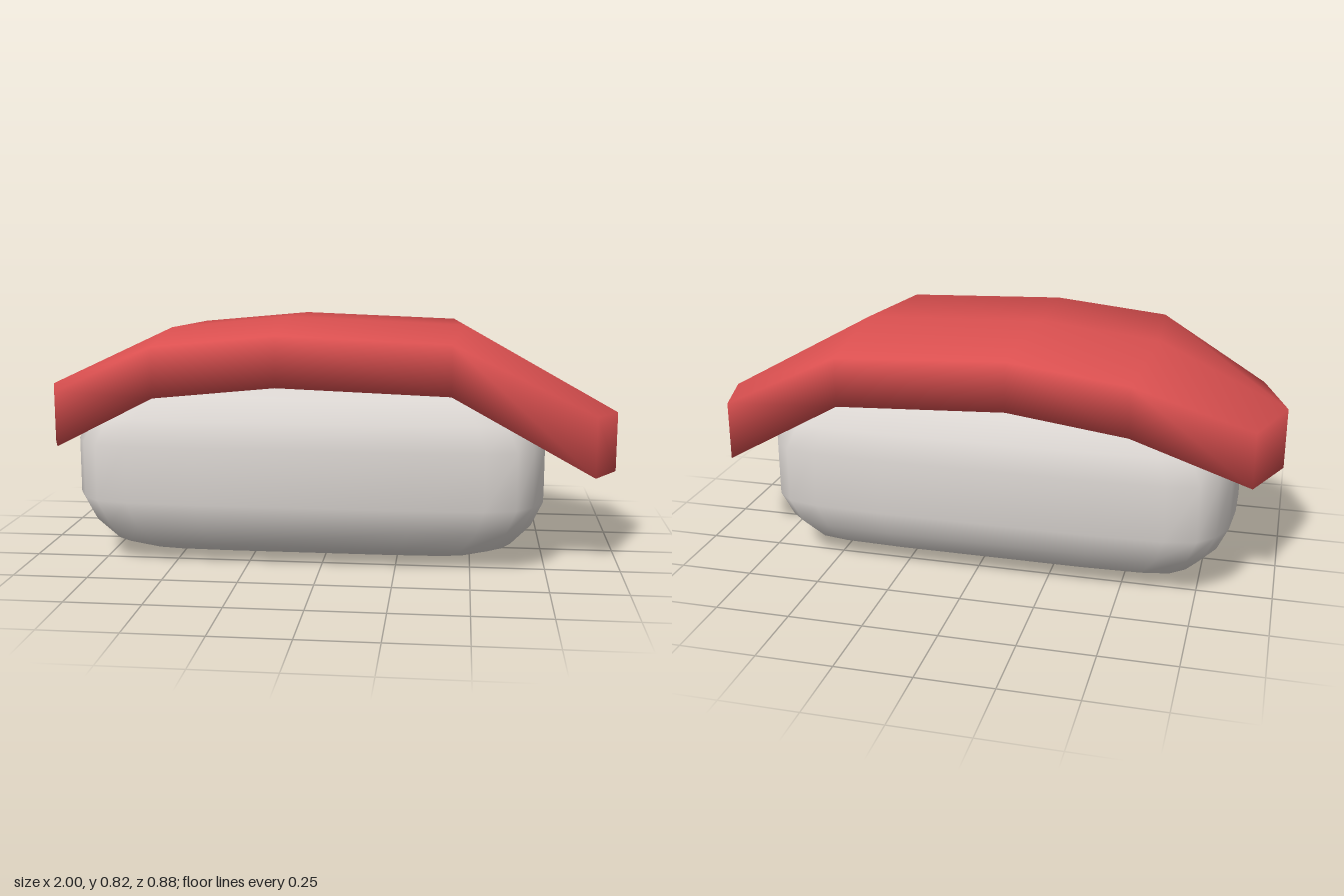
import * as THREE from 'three';

// Smooth closed skin through equal-length loops of [x, y, z] points
function loft(loops, material, name) {
  const n = loops[0].length, last = (loops.length - 1) * n, index = [];
  for (let i = 0; i < loops.length - 1; i++) {
    for (let j = 0; j < n; j++) {
      const a = i * n + j, b = i * n + (j + 1) % n;
      index.push(a, a + n, b, b, a + n, b + n);
    }
  }
  // end caps, fanned from the second point
  for (let j = 2; j < n; j++) {
    const k = (j + 1) % n;
    index.push(1, j, k, last + 1, last + k, last + j);
  }
  const geometry = new THREE.BufferGeometry();
  geometry.setAttribute('position', new THREE.Float32BufferAttribute(loops.flat(2), 3));
  geometry.setIndex(index);
  geometry.computeVertexNormals();
  const mesh = new THREE.Mesh(geometry, material);
  mesh.name = name;
  return mesh;
}

export function createModel() {
  const riceWhite = new THREE.MeshStandardMaterial({ color: 0xd9d4d0 });
  riceWhite.name = 'riceWhite';
  const fishRed = new THREE.MeshStandardMaterial({ color: 0xdb5050, side: THREE.DoubleSide });
  fishRed.name = 'fishRed';
  const group = new THREE.Group();
  group.name = 'sushi';

  // Rice block: one rounded outline, scaled level by level
  const quarter = [[1, 0.2], [0.985, 0.58], [0.94, 0.78], [0.87, 0.92], [0.74, 0.975], [0.45, 1]];
  const mirrored = [...quarter].reverse();
  const outline = [
    ...quarter,
    ...mirrored.map(([x, z]) => [-x, z]),
    ...quarter.map(([x, z]) => [-x, -z]),
    ...mirrored.map(([x, z]) => [x, -z]),
  ];
  const lower = [[0, 0.5, 0.1], [0.028, 0.6, 0.23], [0.066, 0.7, 0.305], [0.14, 0.765, 0.36], [0.225, 0.803, 0.39]];
  const levels = [...lower, ...[...lower].reverse().map(([y, hx, hz]) => [0.64 - y, hx, hz])];
  group.add(loft(
    levels.map(([y, hx, hz]) => outline.map(([x, z]) => [-0.052 + x * hx, y, z * hz])),
    riceWhite, 'riceBlock'));

  // Fish slice: edge x, middle x, back z, front z, then heights of
  // lower edge, lower middle, upper edge and upper middle
  const stations = [
    [-0.91, -1, -0.27, 0.27, 0.39, 0.36, 0.58, 0.57],
    [-0.53, -0.56, -0.44, 0.445, 0.59, 0.6, 0.757, 0.777],
    [-0.13, -0.15, -0.41, 0.445, 0.63, 0.645, 0.797, 0.82],
    [0.43, 0.47, -0.432, 0.445, 0.61, 0.62, 0.775, 0.795],
    [0.905, 1, -0.262, 0.27, 0.32, 0.293, 0.525, 0.5],
  ];
  group.add(loft(
    stations.map(([x, xm, back, front, le, lm, ue, um]) => [
      [x, le, back], [xm, lm, 0.02], [x, le, front],
      [x, ue, front], [xm, um, 0.02], [x, ue, back],
    ]),
    fishRed, 'fishSlice'));

  return group;
}
